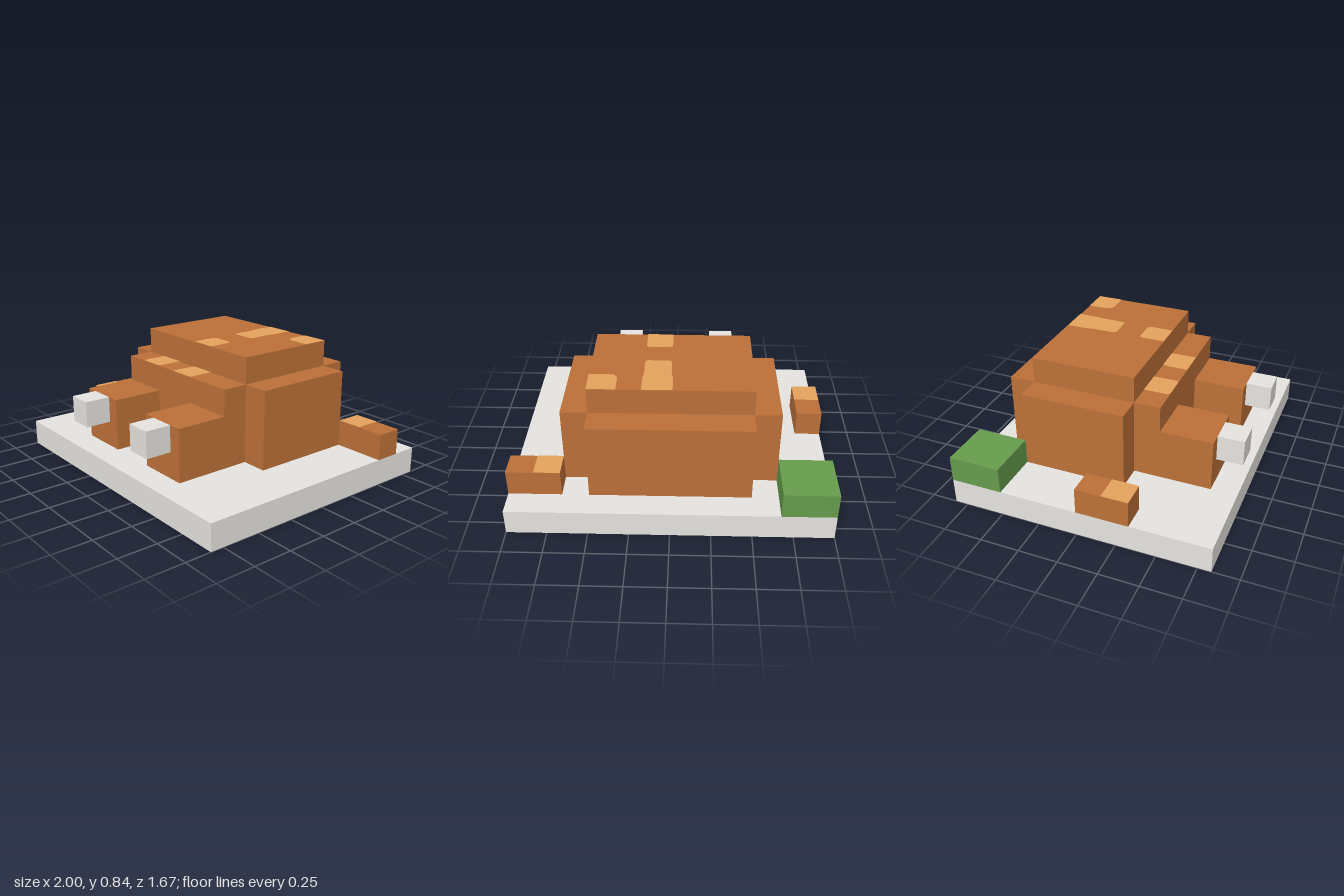
import * as THREE from 'three';

const U = 1 / 6; // one block

function material(name, color) {
  const m = new THREE.MeshStandardMaterial({ color });
  m.name = name;
  return m;
}

export function createModel() {
  const model = new THREE.Group();
  model.name = 'blockModel';
  const stone = material('pale stone', 0xe5e3df);
  const underside = material('dark stone', 0x95938a);
  const clay = material('brown clay', 0xbb7038);
  const sand = material('light sand', 0xe3a25b);
  const leaf = material('leaf green', 0x669c4c);

  // Box given by its limits in block units
  function block(name, mat, [x0, x1], [y0, y1], [z0, z1]) {
    const geo = new THREE.BoxGeometry((x1 - x0) * U, (y1 - y0) * U, (z1 - z0) * U);
    const mesh = new THREE.Mesh(geo, mat);
    mesh.position.set((x0 + x1) / 2, (y0 + y1) / 2, (z0 + z1) / 2).multiplyScalar(U);
    mesh.name = name;
    model.add(mesh);
  }

  // Thin upward-facing patch from an outline of [x, z] points in model units
  function patch(name, y, points) {
    const shape = new THREE.Shape(points.map(([x, z]) => new THREE.Vector2(x, -z)));
    const geo = new THREE.ShapeGeometry(shape).rotateX(-Math.PI / 2);
    const mesh = new THREE.Mesh(geo, sand);
    mesh.position.y = y * U + 0.003;
    mesh.name = name;
    model.add(mesh);
  }

  // Ground slab with a darker underside, and corner bush
  block('base', [stone, stone, stone, underside, stone, stone], [-6, 6], [0, 1], [-5, 5]);
  block('bush', leaf, [-6, -4], [1, 2], [-5, -3]);

  // Stepped body
  block('body', clay, [-4, 4], [1, 4], [-3, 1]);
  block('bodyFront', clay, [-3, 3], [1, 4], [1, 2]);
  block('bodyBack', clay, [-3, 3], [1, 4], [-4, -3]);
  block('bodyTop', clay, [-3, 3], [4, 5], [-3, 1]);

  // Front legs with claws
  for (const [side, s] of [['left', 1], ['right', -1]]) {
    const span = (a, b) => [Math.min(a * s, b * s), Math.max(a * s, b * s)];
    block(side + 'Leg', clay, span(1, 3), [1, 3], [2, 4]);
    block(side + 'Claw', stone, span(1.5, 2.5), [2, 3], [4, 5]);
  }

  // Loose bricks on the slab
  block('leftBrick', clay, [4, 6], [1, 2], [-4, -3]);
  block('rightBrick', clay, [-6, -5], [1, 2], [0, 2]);

  // Sandy patches on the upper faces
  patch('topPatchLong', 5, [[-0.01, -0.5], [-0.01, -0.37], [0, -0.32], [0, -0.18], [0.015, -0.165],
    [0.155, -0.165], [0.167, -0.18], [0.167, -0.32], [0.175, -0.37], [0.175, -0.5]]);
  patch('topPatchCorner', 5, [[0.325, -0.5], [0.325, -0.37], [0.345, -0.34], [0.38, -0.333],
    [0.5, -0.333], [0.5, -0.5]]);
  patch('topPatchFront', 5, [[0.015, 0], [0, 0.015], [0, 0.167], [0.167, 0.167], [0.167, 0.015], [0.155, 0]]);
  patch('ledgePatchRight', 4, [[-0.34, 0.167], [-0.34, 0.32], [-0.325, 0.333], [-0.18, 0.333],
    [-0.165, 0.32], [-0.165, 0.167]]);
  patch('ledgePatchCentre', 4, [[0, 0.167], [-0.01, 0.22], [-0.01, 0.333], [0.17, 0.333], [0.167, 0.167]]);
  patch('leftBrickPatch', 2, [[0.667, -0.667], [0.667, -0.5], [0.83, -0.5], [0.83, -0.667]]);
  patch('rightBrickPatch', 2, [[-1, 0.165], [-1, 0.333], [-0.833, 0.333], [-0.833, 0.165]]);

  return model;
}
